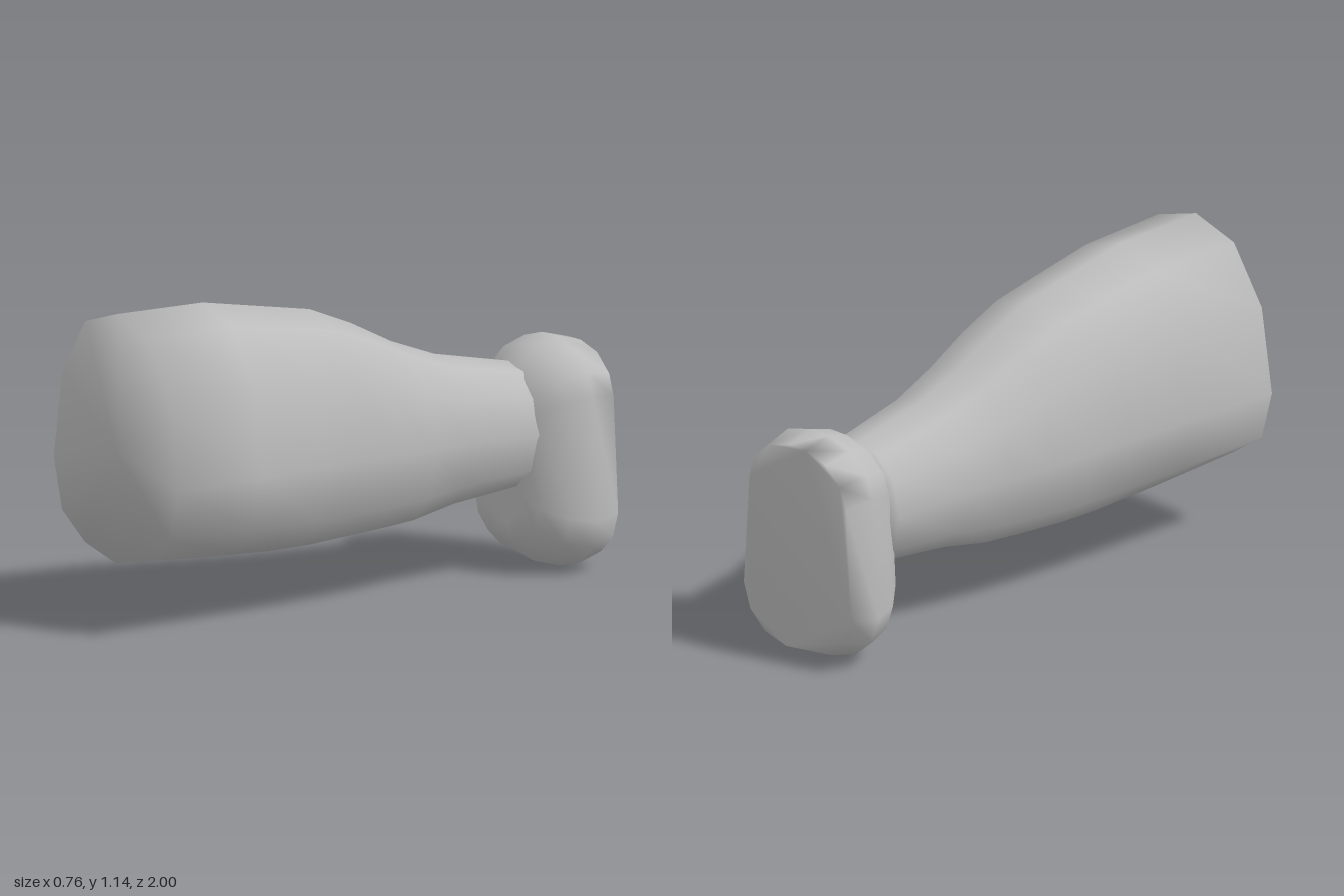
import * as THREE from 'three';

// Skin closed rings (counter-clockwise seen from +z, ordered from back to front) with smooth shared normals
function loft(rings, centredCaps) {
  const n = rings[0].length;
  const points = rings.flat();
  const index = [];
  for (let r = 0; r < rings.length - 1; r++) {
    for (let i = 0; i < n; i++) {
      const a = r * n + i, b = r * n + (i + 1) % n;
      index.push(a, b, b + n, a, b + n, a + n);
    }
  }
  [[0, false], [rings.length - 1, true]].forEach(([r, front]) => {
    const add = (a, b, c) => (front ? index.push(a, b, c) : index.push(a, c, b));
    if (centredCaps) {
      const mid = new THREE.Vector3();
      rings[r].forEach((p) => mid.addScaledVector(p, 1 / n));
      const c = points.push(mid) - 1;
      for (let i = 0; i < n; i++) add(c, r * n + i, r * n + (i + 1) % n);
    } else {
      const outline = rings[r].map((p) => new THREE.Vector2(p.x, p.y));
      THREE.ShapeUtils.triangulateShape(outline, [])
        .forEach((t) => add(...t.map((k) => r * n + k)));
    }
  });
  const geometry = new THREE.BufferGeometry().setFromPoints(points);
  geometry.setIndex(index);
  geometry.computeVertexNormals();
  return geometry;
}

// Twelve-sided egg section: half width, top, widest height, bottom
function bodyRing([z, halfWidth, top, middle, bottom]) {
  const heights = [1, 0.9, 0.54, 0, -0.57, -0.86, -1];
  return Array.from({ length: 12 }, (_, i) => {
    const h = heights[i <= 6 ? i : 12 - i];
    const y = middle + h * (h > 0 ? top - middle : middle - bottom);
    return new THREE.Vector3(-halfWidth * Math.sin((i * Math.PI) / 6), y, z);
  });
}

// Slightly lopsided rounded outline of the end block
const blockOutline = [
  [0.085, 0.0], [0.205, 0.03], [0.285, 0.1], [0.32, 0.2],
  [0.29, 0.65], [0.26, 0.735], [0.18, 0.805], [0.07, 0.835],
  [-0.02, 0.835], [-0.13, 0.805], [-0.21, 0.735], [-0.245, 0.65],
  [-0.275, 0.2], [-0.24, 0.1], [-0.155, 0.03],
];

function blockRing([z, inset]) {
  const cx = 0.02, cy = 0.42;
  return blockOutline.map(([x, y]) => new THREE.Vector3(
    cx + (x - cx) * (1 - inset / 0.3),
    cy + (y - cy) * (1 - inset / 0.415),
    z,
  ));
}

export function createModel() {
  const group = new THREE.Group();
  const grey = new THREE.MeshStandardMaterial({ color: 0xbcbcbc });
  grey.name = 'plain grey';

  // Tapering body, its thin end buried in the block
  const body = new THREE.Mesh(loft([
    [-0.8, 0.205, 0.74, 0.52, 0.3],
    [-0.72, 0.21, 0.755, 0.52, 0.29],
    [-0.4, 0.24, 0.82, 0.53, 0.255],
    [-0.21, 0.275, 0.89, 0.54, 0.215],
    [-0.03, 0.305, 0.98, 0.545, 0.203],
    [0.15, 0.325, 1.052, 0.55, 0.192],
    [0.32, 0.34, 1.082, 0.555, 0.19],
    [0.62, 0.36, 1.135, 0.555, 0.205],
    [1, 0.38, 1.14, 0.555, 0.23],
  ].map(bodyRing), true), grey);
  body.name = 'body';

  // Rounded block at the back, flat on its rear face
  const block = new THREE.Mesh(loft([
    [-1, 0.028], [-0.89, 0], [-0.79, 0.028], [-0.705, 0.1], [-0.685, 0.17],
  ].map(blockRing), false), grey);
  block.name = 'endBlock';

  group.add(body, block);
  return group;
}
